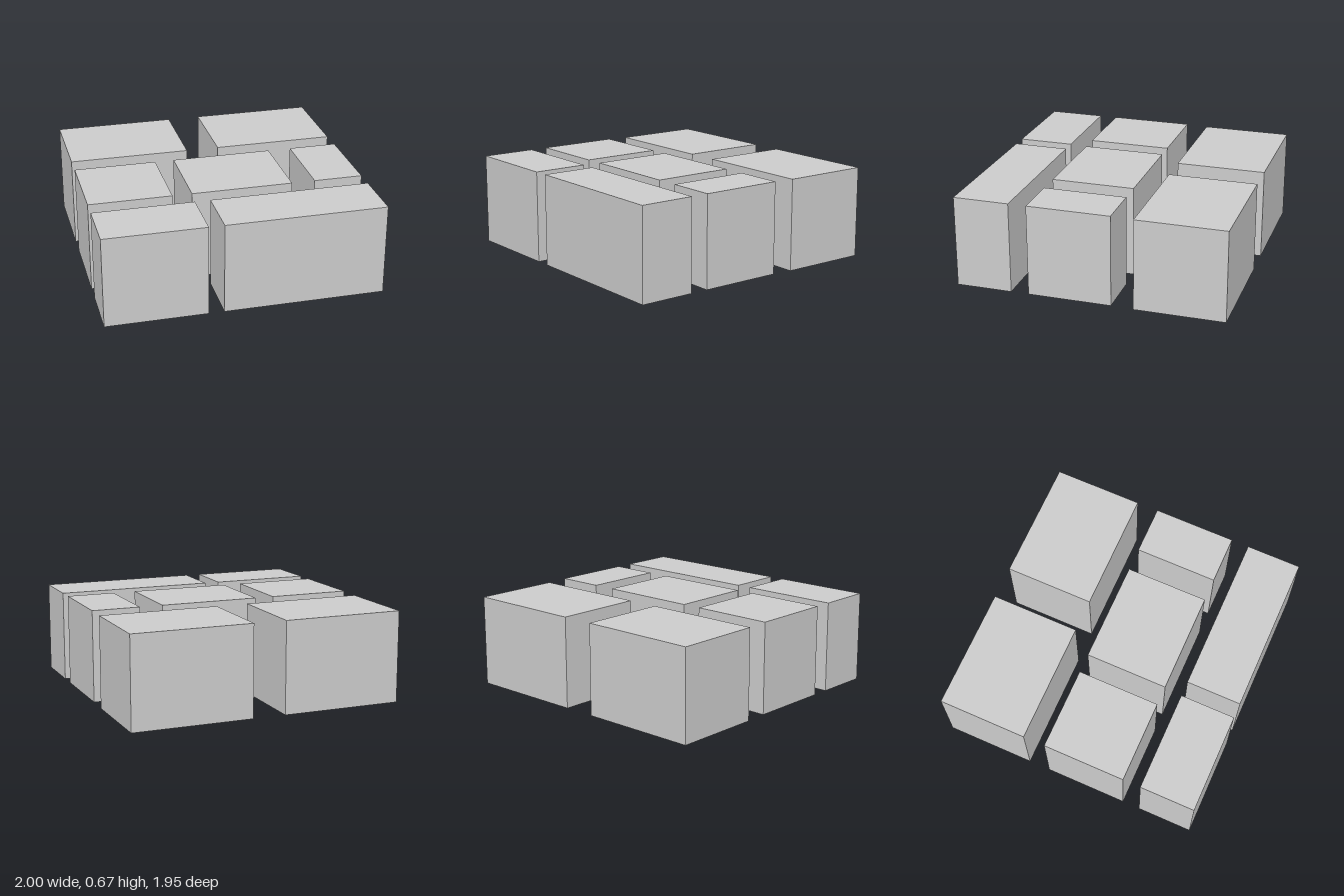
import * as THREE from 'three';

// Rows of blocks: depth range, height range, and the x range of each block
const rows = [
  { name: 'backBlock', z: [-0.975, -0.325], y: [0, 0.665], spans: [[-1, -0.12], [0.12, 1]] },
  { name: 'middleBlock', z: [-0.165, 0.44], y: [0.005, 0.67], spans: [[-1, -0.4], [-0.26, 0.475], [0.645, 1]] },
  { name: 'frontBlock', z: [0.57, 0.975], y: [0.005, 0.67], spans: [[-1, -0.27], [-0.16, 1]] },
];

export function createModel() {
  const group = new THREE.Group();
  group.name = 'blockGrid';
  const material = new THREE.MeshStandardMaterial({ color: 0xcccccc, flatShading: true });

  for (const { name, z, y, spans } of rows) {
    spans.forEach((x, i) => {
      const ranges = [x, y, z];
      const size = ranges.map(([a, b]) => b - a);
      const center = ranges.map(([a, b]) => (a + b) / 2);
      const block = new THREE.Mesh(new THREE.BoxGeometry(...size), material);
      block.name = `${name}${i + 1}`;
      block.position.set(...center);
      group.add(block);
    });
  }
  return group;
}
